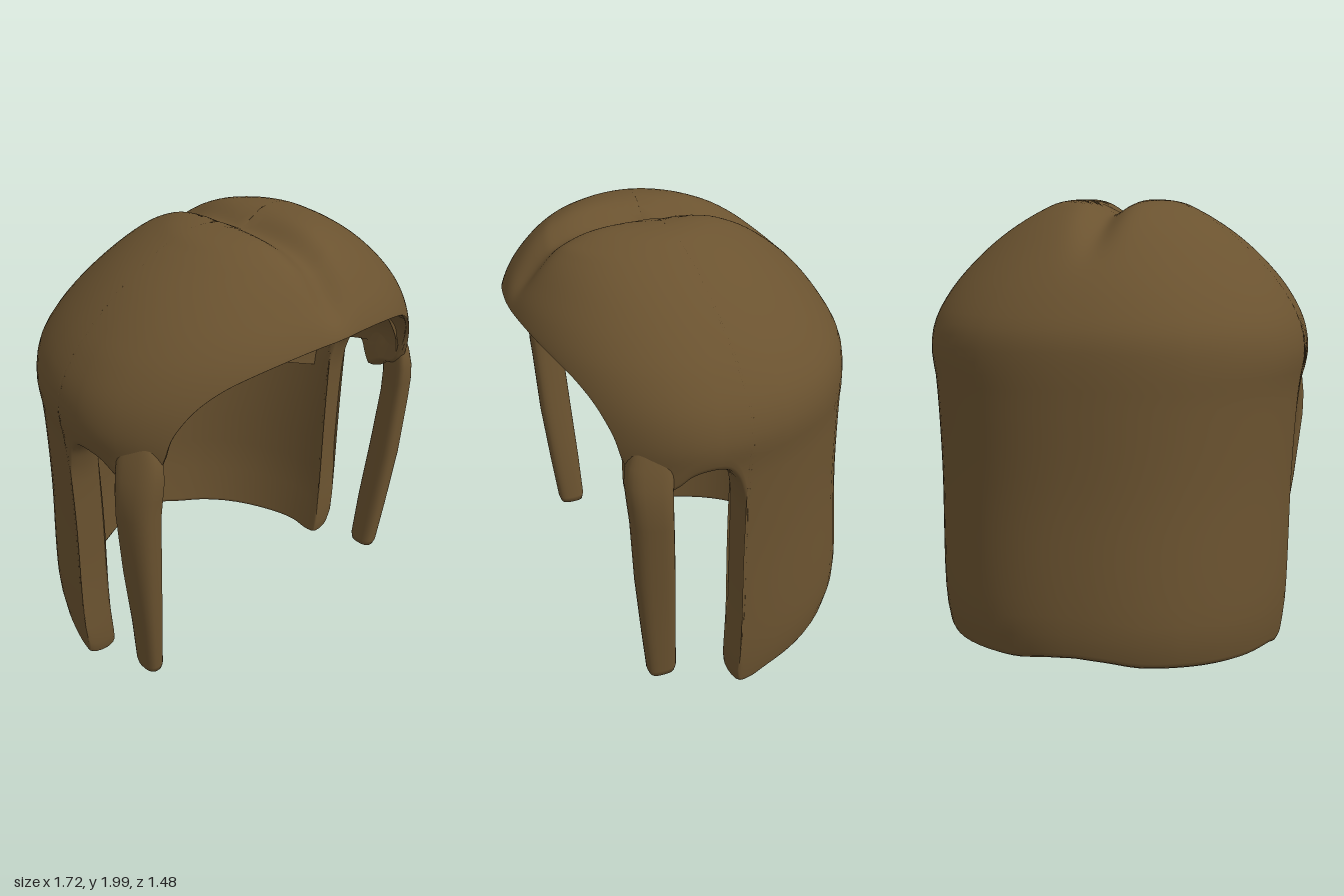
import * as THREE from 'three';
import { mergeVertices } from 'three/addons/utils/BufferGeometryUtils.js';

const { smoothstep } = THREE.MathUtils;
const ZC = 0.15; // z of the crown axis

// Ring profile: height, half width, reach to the front, reach to the back
const RINGS = [
  [2, 0, 0, 0], [1.99, 0.23, 0.22, 0.2], [1.94, 0.37, 0.38, 0.36], [1.9, 0.44, 0.43, 0.43],
  [1.8, 0.58, 0.51, 0.555], [1.7, 0.685, 0.57, 0.655], [1.6, 0.767, 0.602, 0.735],
  [1.47, 0.837, 0.612, 0.81], [1.34, 0.86, 0.61, 0.83], [1.2, 0.84, 0.61, 0.835],
  [0.8, 0.82, 0.6, 0.85], [0.35, 0.815, 0.6, 0.89], [0.2, 0.81, 0.6, 0.89],
  [0.1, 0.8, 0.6, 0.86], [0, 0.79, 0.6, 0.8],
].map(([y, ...r]) => [Math.sqrt(2 - y), ...r]);

// Hem: angle from the front, height (brow, temple, ear arch, back curtain)
const HEM = [
  [0, 1.65], [0.18, 1.645], [0.35, 1.63], [0.55, 1.595], [0.7, 1.55], [0.82, 1.48], [0.91, 1.38],
  [0.96, 1.28], [1.02, 1.21], [1.12, 1.18], [1.25, 1.13], [1.31, 1.15], [1.4, 1.2], [1.52, 1.22],
  [1.6, 1.21], [1.65, 1.16], [1.68, 1.09], [1.702, 0.98], [1.71, 0.5], [1.715, 0.02],
  [1.78, 0.005], [1.9, 0.03], [2.2, 0.05], [2.62, 0.08], [2.83, 0.095], [2.99, 0.12], [Math.PI, 0.133],
];

// Smooth interpolation of one ring column against k = sqrt(2 - y)
function ring(k, c) {
  let i = 0;
  while (i < RINGS.length - 2 && RINGS[i + 1][0] < k) i++;
  const slope = (a, b) => (RINGS[b][c] - RINGS[a][c]) / (RINGS[b][0] - RINGS[a][0]);
  const last = RINGS.length - 1;
  const h = RINGS[i + 1][0] - RINGS[i][0];
  const t = Math.min((k - RINGS[i][0]) / h, 1);
  const m0 = slope(Math.max(i - 1, 0), i + 1) * h;
  const m1 = slope(i, Math.min(i + 2, last)) * h;
  const a = RINGS[i][c], b = RINGS[i + 1][c], t2 = t * t, t3 = t2 * t;
  return a * (2 * t3 - 3 * t2 + 1) + m0 * (t3 - 2 * t2 + t) + b * (3 * t2 - 2 * t3) + m1 * (t3 - t2);
}

// Point on the hair surface, d inward from the outside
function surfacePoint(theta, y, d = 0) {
  const k = Math.sqrt(Math.max(2 - y, 0));
  const s = Math.sin(theta), c = Math.cos(theta);
  const p = c < 0 ? 0.92 + 0.08 * smoothstep(y, 1.4, 1.85) : 1;
  const x = Math.sign(s) * Math.abs(s) ** p * Math.max(ring(k, 1) - d, 0);
  const z = ZC + Math.sign(c) * Math.abs(c) ** p * Math.max(ring(k, c < 0 ? 3 : 2) - d, 0);
  const parting = 0.065 * Math.exp(-((x / 0.08) ** 2)) * smoothstep(z, -0.6, -0.15) * smoothstep(y, 1.62, 1.88);
  return [x, y - parting, z];
}

// Skin a list of equally long point rows
function skin(rows) {
  const n = rows[0].length, index = [];
  for (let i = 0; i < rows.length - 1; i++) {
    for (let j = 0; j < n - 1; j++) {
      const a = i * n + j, b = a + n;
      index.push(a, a + 1, b, b, a + 1, b + 1);
    }
  }
  const g = new THREE.BufferGeometry();
  g.setAttribute('position', new THREE.Float32BufferAttribute(rows.flat(2), 3));
  g.setIndex(index);
  const merged = mergeVertices(g, 1e-5);
  merged.computeVertexNormals();
  return merged;
}

export function createModel() {
  const model = new THREE.Group();
  const material = new THREE.MeshStandardMaterial({ color: 0x6b5330, side: THREE.DoubleSide });
  const add = (name, geometry) => {
    const mesh = new THREE.Mesh(geometry, material);
    mesh.name = name;
    model.add(mesh);
  };

  // Columns round the head, mirrored across x = 0
  const hemCurve = new THREE.CatmullRomCurve3(HEM.map(([t, y]) => new THREE.Vector3(t, y, 0)));
  const steps = (HEM.length - 1) * 5;
  const half = Array.from({ length: steps + 1 }, (_, i) => hemCurve.getPoint(i / steps));
  const columns = [...half.slice(1).reverse().map((p) => [-p.x, p.y]), ...half.map((p) => [p.x, p.y])];
  const thickness = (theta) => 0.015 + 0.115 * smoothstep(Math.abs(theta), 0.88, 1.25);

  // Cap and back curtain: outside, rounded lip, inside
  add('capAndBackHair', skin(columns.map(([theta, hem]) => {
    const d = thickness(theta), drop = d * 0.3, end = hem + drop, kEnd = Math.sqrt(2 - end);
    const column = [];
    for (let j = 0; j <= 44; j++) column.push(surfacePoint(theta, 2 - (kEnd * j / 44) ** 2));
    for (let j = 1; j < 6; j++) {
      const a = Math.PI * j / 6;
      const p = surfacePoint(theta, end, d * (1 - Math.cos(a)) / 2);
      p[1] -= drop * Math.sin(a);
      column.push(p);
    }
    // The inside stops above the lining
    const inner = Math.abs(theta) < 1 ? 19 : 10;
    for (let j = 0; j <= 10; j++) {
      const q = 1 - (j / 10) * (1 - inner / 20);
      column.push(surfacePoint(theta, 2 - (kEnd * q) ** 2, d));
    }
    return column;
  })));

  // Lining: hollow from the brow down to a ridge, then an underside to the back wall
  const browColumns = columns.filter(([theta]) => Math.abs(theta) <= 0.962);
  const linings = browColumns.map(([theta, hem]) => {
    const front = surfacePoint(theta, hem, thickness(theta) * 0.6);
    const rx = 0.71 * Math.sin(theta / 0.96 * 1.5);
    const ry = 1 + 0.205 * Math.cos(rx / 0.71 * Math.PI / 2) ** 1.2;
    const rz = -0.04;
    const hollow = [];
    for (let j = 0; j <= 16; j++) {
      const a = Math.PI / 2 * j / 16, c = Math.cos(a) ** 0.85, s = Math.sin(a);
      hollow.push([rx + (front[0] - rx) * c, ry + (front[1] - ry) * c, front[2] + (rz - front[2]) * s]);
    }
    const bx = rx * 0.85;
    const back = [bx, ry + 0.06, ZC - 0.76 * Math.sqrt(1 - (bx / 0.74) ** 2)];
    return { hollow, underside: [[rx, ry, rz], back] };
  });
  add('innerHollow', skin(linings.map((l) => l.hollow)));
  add('innerUnderside', skin(linings.map((l) => l.underside)));

  // Side locks: y, x, z, half width, half depth
  const lock = [
    [1.4, 0.735, 0.38, 0.01, 0.03], [1.33, 0.74, 0.395, 0.03, 0.065], [1.26, 0.748, 0.405, 0.045, 0.085],
    [1.18, 0.757, 0.412, 0.057, 0.087], [1.1, 0.764, 0.411, 0.061, 0.083],
    [1, 0.766, 0.405, 0.06, 0.08], [0.7, 0.745, 0.388, 0.055, 0.08], [0.4, 0.715, 0.365, 0.047, 0.073],
    [0.17, 0.695, 0.347, 0.042, 0.065], [0.14, 0.693, 0.345, 0.036, 0.056], [0.128, 0.692, 0.345, 0, 0],
  ];
  const power = (v) => Math.sign(v) * Math.abs(v) ** 0.75;
  for (const side of [1, -1]) {
    add(side > 0 ? 'leftSideLock' : 'rightSideLock', skin(lock.map(([y, x, z, w, d]) =>
      Array.from({ length: 25 }, (_, j) => {
        const a = -side * Math.PI * 2 * j / 24;
        const dx = power(Math.cos(a)) * w, dz = power(Math.sin(a)) * d;
        const twist = 0.35 * smoothstep(y, 0.2, 1.2);
        return [side * (x - twist * dz) + dx, y, z + dz];
      }))));
  }
  return model;
}
